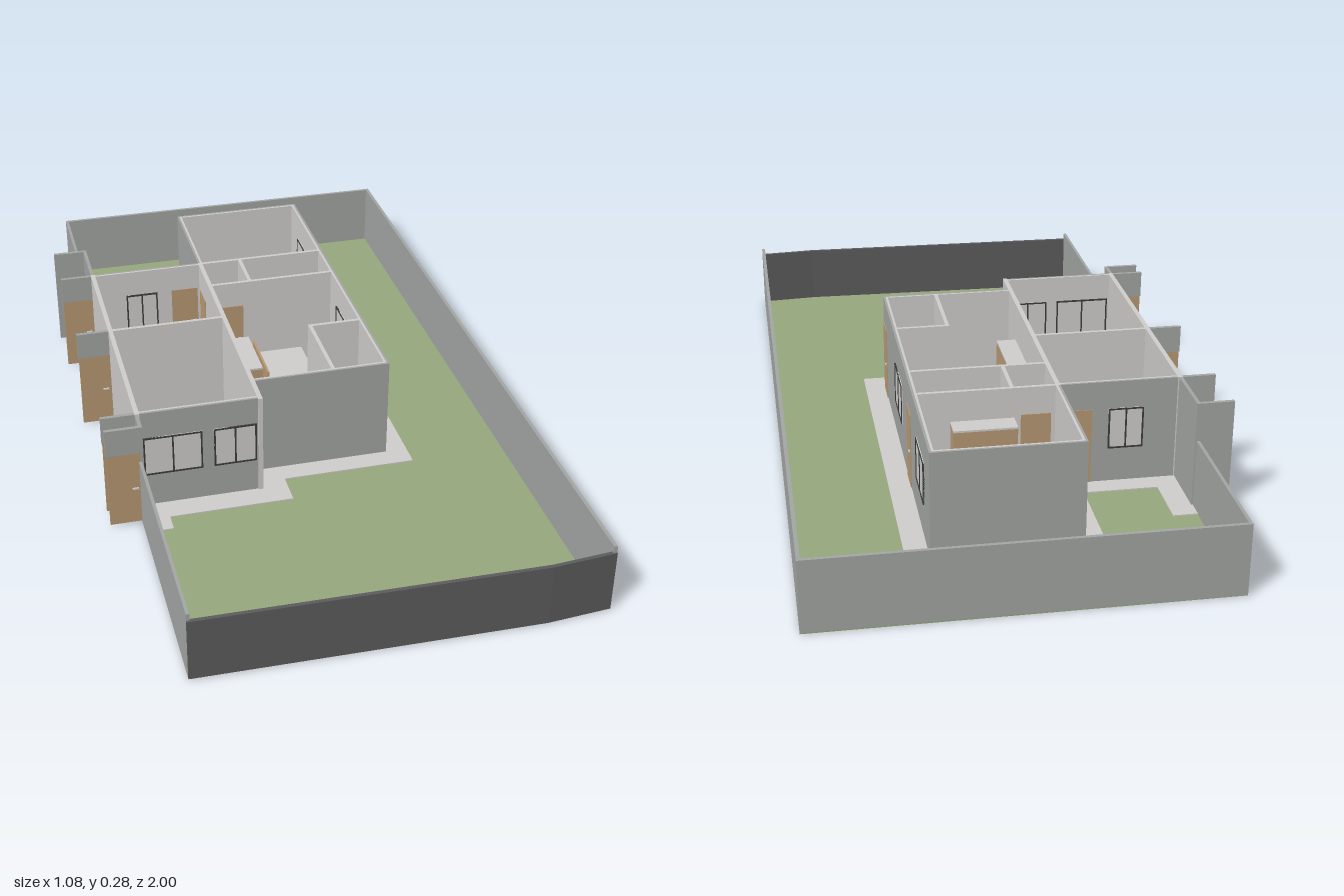
import * as THREE from 'three';

const mat = (name, color, extra = {}) => Object.assign(new THREE.MeshStandardMaterial({ color, ...extra }), { name });

export function createModel() {
  const root = new THREE.Group();
  root.name = 'walledHouse';
  const grey = mat('outer wall grey', 0xa3a6a4);
  const pale = mat('pale plaster', 0xd0cecd);
  const dark = mat('charcoal', 0x5c5c5e);
  const green = mat('lawn green', 0x96a87d);
  const wood = mat('wood', 0xb89974);
  const frameMat = mat('window frame', 0x3c3c3e);
  const cloth = mat('sofa grey', 0xa0a4a8);

  const group = (name) => {
    const g = new THREE.Group();
    g.name = name;
    root.add(g);
    return g;
  };
  // Box given by its limits on each axis
  const box = (parent, name, m, x0, x1, y0, y1, z0, z1) => {
    const mesh = new THREE.Mesh(new THREE.BoxGeometry(x1 - x0, y1 - y0, z1 - z0), m);
    mesh.position.set((x0 + x1) / 2, (y0 + y1) / 2, (z0 + z1) / 2);
    mesh.name = name;
    parent.add(mesh);
    return mesh;
  };
  // Flat slab from a plan outline of [x, z] points
  const slab = (name, m, pts, y0, y1, hole) => {
    const vec = (a) => a.map(([x, z]) => new THREE.Vector2(x, -z));
    const shape = new THREE.Shape(vec(pts));
    if (hole) shape.holes.push(new THREE.Path(vec(hole)));
    const geo = new THREE.ExtrudeGeometry(shape, { depth: y1 - y0, bevelEnabled: false });
    geo.rotateX(-Math.PI / 2);
    const mesh = new THREE.Mesh(geo, m);
    mesh.position.y = y0;
    mesh.name = name;
    root.add(mesh);
  };

  // Ground, paving ring and house floor
  slab('lawn', green, [[-0.46, -1], [0.54, -1], [0.54, 0.98], [0.38, 0.995], [-0.46, 0.98]], 0.001, 0.005);
  const house = [[-0.455, 0.325], [-0.14, 0.325], [-0.14, 0.24], [0.22, 0.24],
    [0.22, -0.74], [-0.14, -0.74], [-0.14, -0.425], [-0.455, -0.425]];
  slab('paving', pale, [[-0.46, 0.44], [-0.39, 0.44], [-0.39, 0.39], [-0.07, 0.39], [-0.07, 0.3], [0.28, 0.3],
    [0.28, -0.8], [-0.2, -0.8], [-0.2, -0.48], [-0.39, -0.48], [-0.39, -0.63], [-0.46, -0.63]], 0, 0.008, house);
  slab('houseFloor', pale, house, 0.004, 0.008);

  // Garden walls
  const garden = group('gardenWalls');
  const GH = 0.183;
  box(garden, 'rightGardenWall', grey, 0.531, 0.54, 0.001, GH, -1, 0.982);
  box(garden, 'backGardenWall', grey, -0.46, 0.531, 0.001, GH, -1, -0.991);
  box(garden, 'leftBackGardenWall', grey, -0.46, -0.452, 0.001, GH, -0.991, -0.585);
  box(garden, 'leftFrontGardenWall', grey, -0.46, -0.452, 0.001, GH, 0.385, 0.978);
  slab('frontGardenWall', dark, [[-0.46, 0.983], [0.38, 0.998], [0.54, 0.985], [0.54, 0.975],
    [0.38, 0.988], [-0.46, 0.973]], 0.003, 0.165);

  // House walls: a grey outer skin and a pale lining
  const walls = group('houseWalls');
  const H = 0.283;
  const wall = (name, m, x0, x1, z0, z1) => box(walls, name, m, x0, x1, 0.005, H, z0, z1);
  wall('rightOuterWall', grey, 0.217, 0.223, -0.742, 0.244);
  wall('rightLining', pale, 0.211, 0.217, -0.736, 0.238);
  wall('frontOuterWall', grey, -0.134, 0.217, 0.238, 0.244);
  wall('frontLining', pale, -0.134, 0.211, 0.232, 0.238);
  wall('backOuterWall', grey, -0.146, 0.217, -0.742, -0.736);
  wall('backLining', pale, -0.134, 0.211, -0.736, -0.73);
  wall('wingOuterWall', grey, -0.146, -0.14, -0.736, -0.426);
  wall('wingLining', pale, -0.14, -0.134, -0.736, -0.426);
  wall('livingFrontWall', grey, -0.445, -0.146, 0.32, 0.326);
  wall('livingFrontLining', pale, -0.445, -0.146, 0.314, 0.32);
  wall('kitchenBackWall', grey, -0.445, -0.146, -0.426, -0.42);
  wall('kitchenBackLining', pale, -0.445, -0.146, -0.42, -0.414);
  // Dividing walls
  wall('partyWall', pale, -0.457, -0.445, -0.426, 0.326);
  wall('porchSideWall', grey, -0.457, -0.448, 0.326, 0.385);
  wall('yardSideWall', grey, -0.457, -0.448, -0.585, -0.426);
  wall('spineWall', pale, -0.146, -0.134, -0.426, 0.33);
  wall('kitchenDivider', pale, -0.445, -0.146, -0.105, -0.095);
  wall('bedroomWall', pale, -0.134, 0.211, -0.426, -0.416);
  wall('hallWall', pale, -0.134, 0.211, -0.289, -0.279);
  wall('bathroomWall', pale, -0.03, -0.02, -0.416, -0.289);
  wall('showerWall', pale, 0.07, 0.211, -0.002, 0.008);
  wall('showerSideWall', pale, 0.07, 0.08, 0.008, 0.232);

  // Projecting side walls with doors below a lintel
  const DH = 0.21;
  for (const z of [-0.421, -0.1, 0.321, 0.381]) {
    const g = group('sideDoor');
    box(g, 'sideDoorLeaf', wood, -0.54, -0.457, 0.005, DH, z - 0.004, z + 0.004);
    box(g, 'sideDoorLintel', grey, -0.542, -0.457, DH, H, z - 0.005, z + 0.005);
    box(g, 'sideDoorHandle', pale, -0.48, -0.464, 0.104, 0.108, z - 0.008, z + 0.008);
  }
  box(root, 'yardScreen', grey, -0.542, -0.457, 0.005, H, -0.585, -0.575);

  // Openings are built facing +z and turned for the side walls
  const place = (g, x, z, alongZ) => {
    g.position.set(x, 0, z);
    if (alongZ) g.rotation.y = Math.PI / 2;
  };
  const addWindow = (x, z, w, alongZ, t = 0.008) => {
    const g = group('window');
    const y0 = 0.1, y1 = DH, b = 0.004, h = w / 2;
    box(g, 'glass', pale, -h, h, y0, y1, -t, t);
    const f = t + 0.002;
    for (const x of [-h, -b / 2, h - b]) box(g, 'frameUpright', frameMat, x, x + b, y0, y1, -f, f);
    for (const y of [y0, y1 - b]) box(g, 'frameRail', frameMat, -h, h, y, y + b, -f, f);
    place(g, x, z, alongZ);
  };
  addWindow(-0.365, 0.32, 0.15);
  addWindow(-0.205, 0.32, 0.11);
  addWindow(0.217, -0.135, 0.15, true);
  addWindow(0.217, -0.58, 0.14, true);
  addWindow(-0.315, -0.42, 0.09);

  const addDoor = (x, z, alongZ, t = 0.008) => {
    const g = group('door');
    box(g, 'doorLeaf', wood, -0.038, 0.038, 0.008, DH, -t, t);
    box(g, 'doorHandle', pale, 0.022, 0.032, 0.104, 0.108, -t - 0.004, t + 0.004);
    place(g, x, z, alongZ);
  };
  addDoor(0.217, 0.2, true);
  addDoor(0.217, -0.35, true);
  addDoor(-0.19, -0.42);
  addDoor(-0.14, -0.36, true);
  addDoor(-0.085, -0.284);
  addDoor(-0.085, -0.421);
  addDoor(-0.025, -0.35, true);

  // Furniture
  const F = 0.008;
  const bed = (x0, x1, z0, z1) => {
    const g = group('bed');
    box(g, 'bedBase', wood, x0, x1, F, 0.035, z0, z1);
    box(g, 'mattress', pale, x0 + 0.004, x1, 0.035, 0.06, z0, z1);
    box(g, 'headboard', wood, x0 - 0.004, x0 + 0.002, F, 0.1, z0, z1);
  };
  bed(-0.026, 0.11, -0.72, -0.54);
  bed(-0.02, 0.12, -0.26, -0.08);
  const wardrobe = (x0, x1, z0, z1) => {
    const g = group('wardrobe');
    box(g, 'wardrobeBody', wood, x0, x1, F, 0.2, z0, z1);
    box(g, 'wardrobeTop', pale, x0, x1, 0.2, 0.205, z0, z1);
  };
  wardrobe(-0.03, 0.13, -0.485, -0.43);
  wardrobe(-0.122, -0.07, -0.06 - 0.05, -0.06 + 0.12);
  box(root, 'sideboard', wood, -0.195, -0.15, F, 0.065, 0.03, 0.19);
  const sofa = group('sofa');
  box(sofa, 'sofaSeat', cloth, -0.42, -0.355, F, 0.055, 0.01, 0.215);
  box(sofa, 'sofaBack', cloth, -0.442, -0.42, F, 0.1, 0.01, 0.215);
  const kitchen = group('kitchenCounter');
  box(kitchen, 'counter', dark, -0.442, -0.38, F, 0.11, -0.38, -0.145);
  box(kitchen, 'sink', pale, -0.432, -0.382, 0.11, 0.114, -0.31, -0.262);
  const table = group('table');
  box(table, 'tableTop', pale, -0.33, -0.265, 0.085, 0.092, -0.172, -0.106);
  for (const x of [-0.327, -0.274]) for (const z of [-0.169, -0.115]) {
    box(table, 'tableLeg', wood, x, x + 0.006, F, 0.085, z, z + 0.006);
  }
  return root;
}
